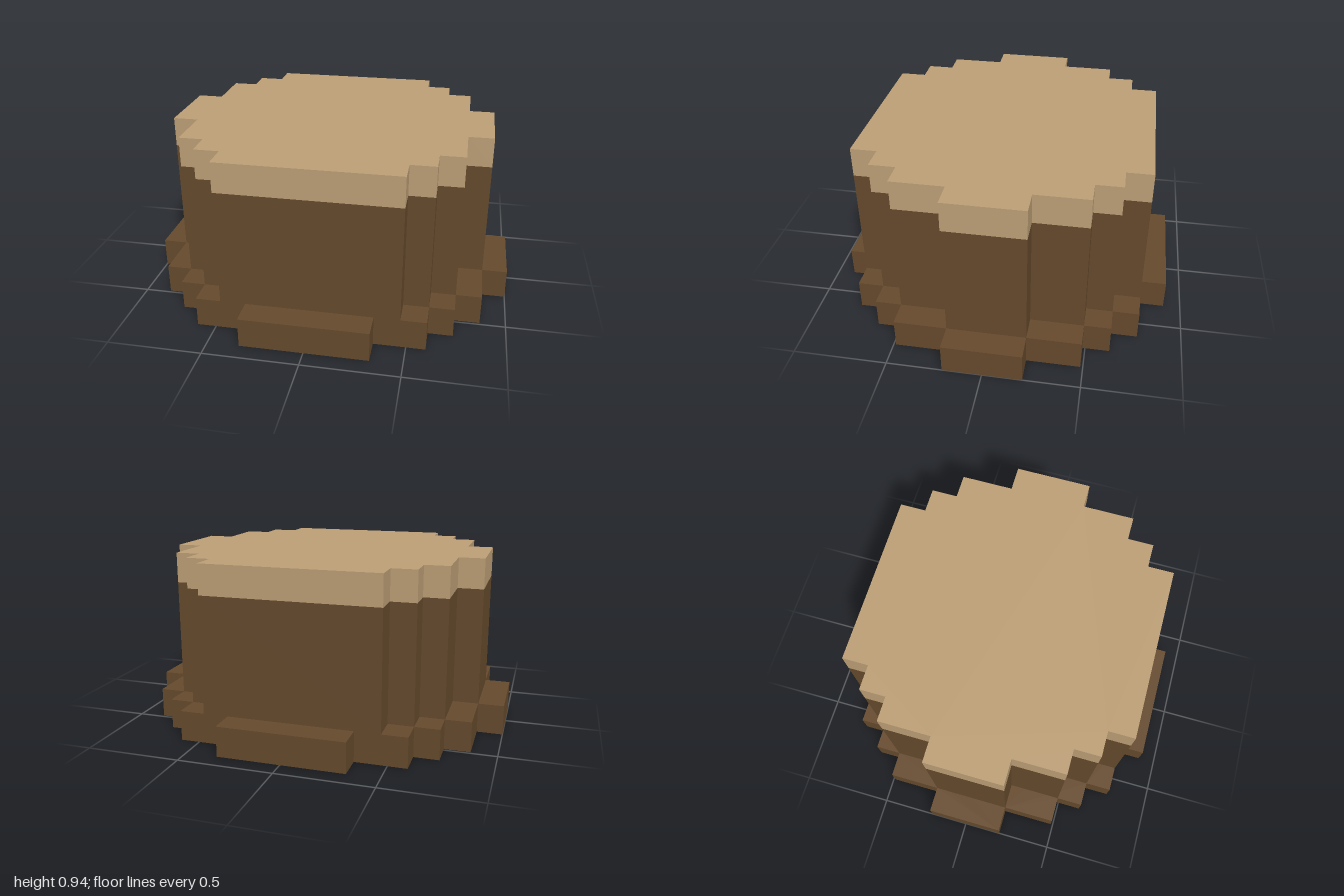
import * as THREE from 'three';

// Stepped outline, symmetric in both axes, from the quarter's [half width, half depth] steps
function steppedShape(steps) {
  const quarter = [];
  steps.forEach(([x, z], i) => {
    quarter.push([x, i ? steps[i - 1][1] : 0], [x, z]);
  });
  quarter.shift(); // the first corner lies on the axis
  quarter.push([0, steps[steps.length - 1][1]]);
  quarter.pop();
  const flipped = [...quarter].reverse();
  const points = [
    ...quarter,
    ...flipped.map(([x, z]) => [-x, z]),
    ...quarter.map(([x, z]) => [-x, -z]),
    ...flipped.map(([x, z]) => [x, -z]),
  ];
  return new THREE.Shape(points.map(([x, z]) => new THREE.Vector2(x, z)));
}

// Upright prism of a stepped outline between two heights
function slab(name, steps, bottom, top, material) {
  const geometry = new THREE.ExtrudeGeometry(steppedShape(steps), {
    depth: top - bottom,
    bevelEnabled: false,
  });
  geometry.rotateX(-Math.PI / 2);
  geometry.translate(0, bottom, 0);
  const mesh = new THREE.Mesh(geometry, material);
  mesh.name = name;
  return mesh;
}

export function createModel() {
  const bark = new THREE.MeshStandardMaterial({ color: 0x664a2d });
  bark.name = 'bark brown';
  const wood = new THREE.MeshStandardMaterial({ color: 0xbd9f76 });
  wood.name = 'cut wood tan';

  // Outlines from the widest step to the deepest
  const rootSteps = [[1, 0.207], [0.865, 0.487], [0.73, 0.627], [0.6, 0.767], [0.333, 0.907]];
  const trunkSteps = [[0.865, 0.207], [0.73, 0.487], [0.6, 0.627], [0.467, 0.767]];

  const model = new THREE.Group();
  model.name = 'treeStump';
  model.add(
    slab('rootBase', rootSteps, 0, 0.16, bark),
    slab('trunk', trunkSteps, 0.16, 0.78, bark),
    slab('cutTop', trunkSteps, 0.78, 0.94, wood),
  );
  return model;
}
